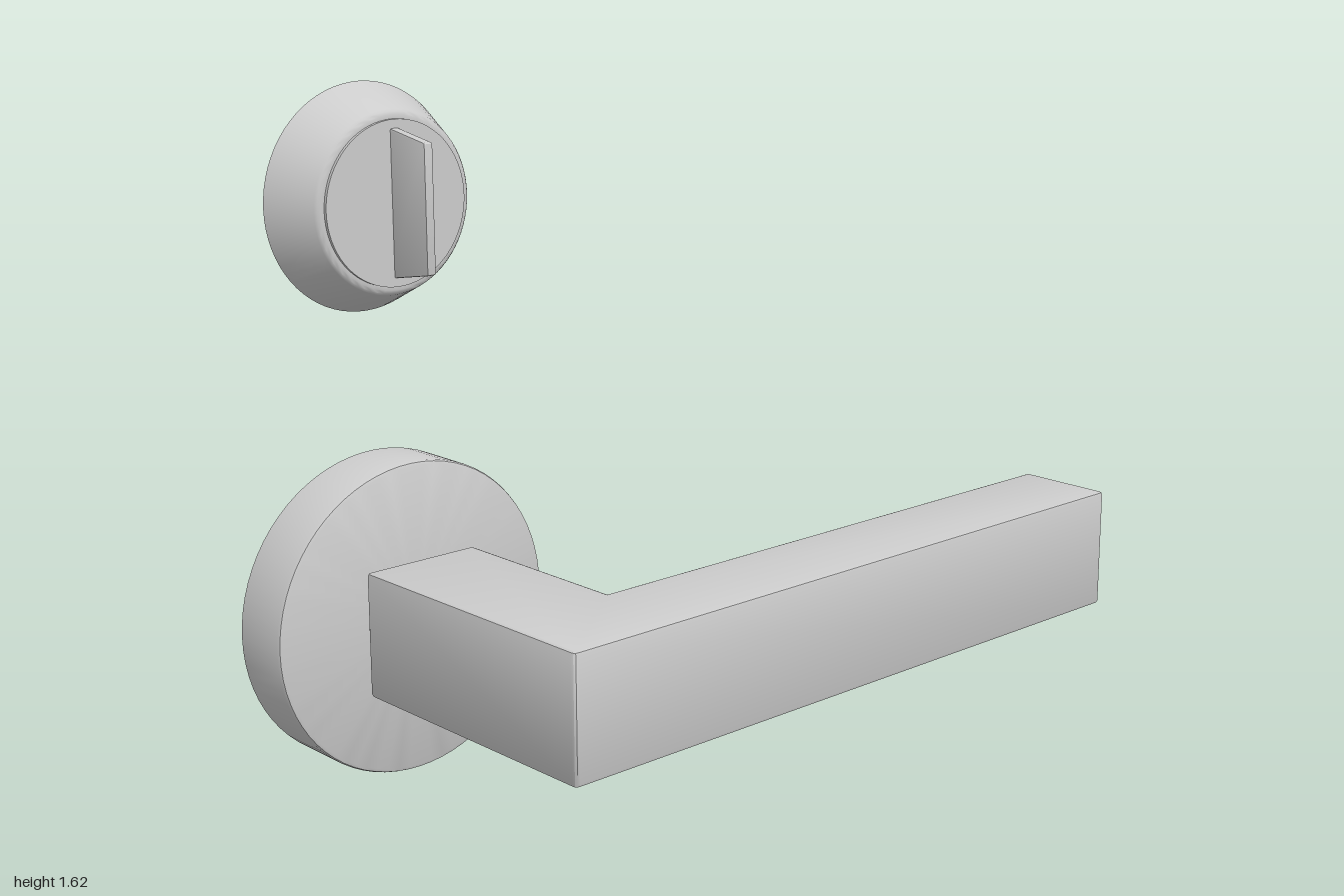
import * as THREE from 'three';
import { toCreasedNormals } from 'three/addons/utils/BufferGeometryUtils.js';

const AXIS_X = -0.62;
const BACK_Z = -0.46;

export function createModel() {
  const group = new THREE.Group();
  const material = new THREE.MeshStandardMaterial({ color: 0xcccccc });

  const add = (name, geometry, x = 0, y = 0, z = 0) => {
    const mesh = new THREE.Mesh(toCreasedNormals(geometry, 0.5), material);
    mesh.name = name;
    mesh.position.set(x, y, z);
    group.add(mesh);
  };

  // Round part turned about the z axis; profile is [radius, z] from back to front
  const turned = (profile) =>
    new THREE.LatheGeometry(profile.map(([r, z]) => new THREE.Vector2(r, z)), 72).rotateX(Math.PI / 2);

  // Closed outline whose convex corners are rounded by r
  const outline = (corners, r, sharp = -1) => {
    const pts = corners.map(([x, y]) => new THREE.Vector2(x, y));
    const shape = new THREE.Shape();
    pts.forEach((p, i) => {
      const toward = (q) => p.clone().add(q.clone().sub(p).setLength(r));
      const a = toward(pts[(i + pts.length - 1) % pts.length]);
      const b = toward(pts[(i + 1) % pts.length]);
      if (i === sharp) return shape.lineTo(p.x, p.y);
      if (i === 0) shape.moveTo(a.x, a.y);
      else shape.lineTo(a.x, a.y);
      shape.quadraticCurveTo(p.x, p.y, b.x, b.y);
    });
    return shape;
  };

  // Bevelled slab of total thickness t, centred on its depth
  const slab = (shape, t, b) =>
    new THREE.ExtrudeGeometry(shape, {
      depth: t - 2 * b, bevelThickness: b, bevelSize: b, bevelOffset: -b,
      bevelSegments: 2, curveSegments: 3,
    }).translate(0, 0, -t / 2 + b);

  // Round rose plate against the door
  add('rosePlate', turned([
    [0, BACK_Z], [0.372, BACK_Z], [0.377, BACK_Z + 0.005],
    [0.377, -0.31], [0.374, -0.303], [0.367, -0.3], [0, -0.3],
  ]), AXIS_X, 0.38);

  // Short neck between rose and lever
  add('neck', turned([[0, -0.31], [0.133, -0.31], [0.133, -0.26], [0, -0.26]]), AXIS_X, 0.38);

  // L-shaped lever, outlined in plan (x, z) and extruded vertically
  const lever = outline([
    [-0.775, -0.275], [-0.47, -0.275], [-0.47, 0.212],
    [1, 0.212], [1, 0.46], [-0.775, 0.46],
  ], 0.012, 2);
  add('lever', slab(lever, 0.3, 0.008).rotateX(Math.PI / 2), 0, 0.38);

  // Conical base of the thumb turn, with a low raised disc
  add('thumbTurnBase', turned([
    [0, BACK_Z], [0.265, BACK_Z], [0.211, -0.342], [0.206, -0.336],
    [0.199, -0.333], [0.19, -0.333], [0.19, -0.325], [0, -0.325],
  ]), AXIS_X, 1.355);

  // Thin tapered blade of the thumb turn, outlined in side profile (z, y)
  const blade = outline([[-0.34, -0.172], [-0.2, -0.148], [-0.2, 0.148], [-0.34, 0.172]], 0.006);
  add('thumbTurnBlade', slab(blade, 0.024, 0.004).rotateY(-Math.PI / 2), AXIS_X, 1.355);

  return group;
}
